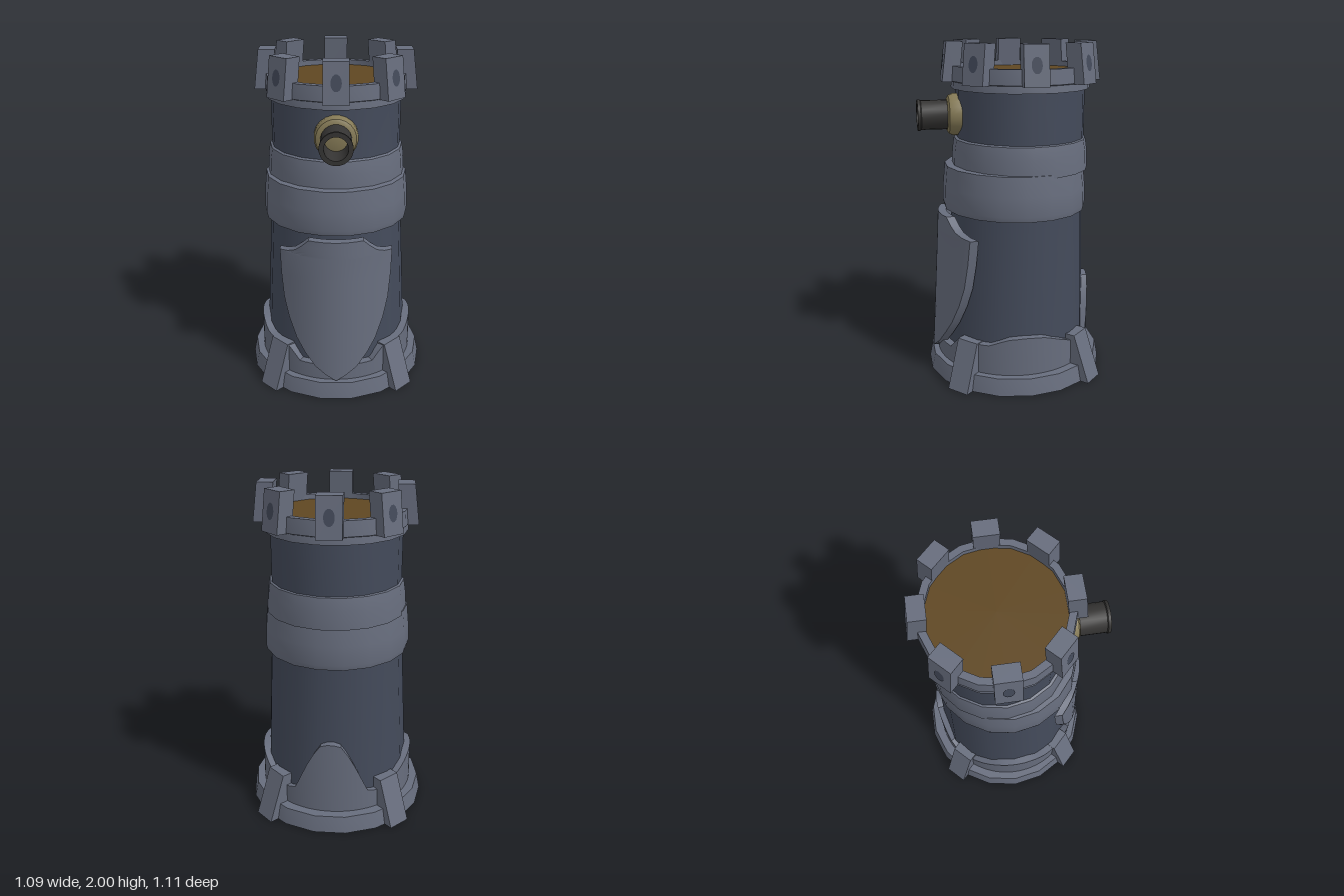
import * as THREE from 'three';
import { toCreasedNormals } from 'three/addons/utils/BufferGeometryUtils.js';

const SIDES = 18;
const mat = (name, color, side = THREE.FrontSide) => {
  const m = new THREE.MeshStandardMaterial({ color, side });
  m.name = name;
  return m;
};

export function createModel() {
  const stone = mat('stone', 0x676d7d);
  const wall = mat('dark wall', 0x434a5a, THREE.DoubleSide);
  const wood = mat('wood', 0x5f4722);
  const brass = mat('brass', 0x857a56);
  const iron = mat('iron', 0x353433);

  const tower = new THREE.Group();
  tower.name = 'tower';
  const add = (name, geo, material, parent = tower) => {
    const mesh = new THREE.Mesh(geo, material);
    mesh.name = name;
    parent.add(mesh);
    return mesh;
  };

  const edit = (geo, fn) => {
    const p = geo.attributes.position, v = new THREE.Vector3();
    for (let i = 0; i < p.count; i++) {
      fn(v.fromBufferAttribute(p, i));
      p.setXYZ(i, v.x, v.y, v.z);
    }
    return geo;
  };
  const crease = (geo) => toCreasedNormals(geo, 0.6);

  // Linear interpolation through [key, value] pairs
  const along = (keys, t) => {
    let i = 1;
    while (i < keys.length - 1 && t > keys[i][0]) i++;
    const [a, va] = keys[i - 1], [b, vb] = keys[i];
    return va + (vb - va) * THREE.MathUtils.clamp((t - a) / (b - a), 0, 1);
  };

  const lathe = (profile, sides = SIDES) => new THREE.LatheGeometry(
    profile.map(([r, y]) => new THREE.Vector2(r, y)), sides, Math.PI / sides);

  // Turned ring whose centre drifts back with height; tilt raises the front
  const ring = (profile, centres, tilt = 0) => crease(edit(lathe(profile), (v) => {
    const dz = along(centres, v.y);
    v.y += v.z * tilt;
    v.z += dz;
  }));

  // Radial block: (radius, height) outline given a width
  const block = (outline, width) => {
    const shape = new THREE.Shape(outline.map(([r, y]) => new THREE.Vector2(r, y)));
    return new THREE.ExtrudeGeometry(shape, { depth: width, bevelEnabled: false })
      .translate(0, 0, -width / 2).rotateY(-Math.PI / 2);
  };

  const BASE_Z = -0.018, TOP_Z = -0.055;
  const still = (z) => [[0, z], [2, z]];

  // Hollow leaning wall
  add('towerWall', ring(
    [[0.45, 0.01], [0.437, 0.3], [0.40, 1.02], [0.383, 1.45], [0.383, 1.8]],
    [[0, -0.015], [0.3, -0.015], [1.02, -0.035], [1.45, TOP_Z]]), wall);

  // Foot ring
  add('footRing', ring(
    [[0.455, 0], [0.545, 0], [0.525, 0.1], [0.455, 0.1], [0.455, 0]], still(BASE_Z)), stone);

  // Skirt with a wavy upper edge, heights by angle from the front
  const waves = [[0, 0.2], [28, 0.2], [36, 0.28], [62, 0.28], [76, 0.325], [90, 0.335], [104, 0.325],
    [122, 0.27], [140, 0.21], [152, 0.22], [165, 0.45], [172, 0.54], [180, 0.56]];
  const skirt = edit(lathe([[0.474, 0.05], [0.474, 1], [0.41, 1]], 72), (v) => {
    const angle = Math.abs(Math.atan2(v.x, v.z)) * 180 / Math.PI;
    if (v.y > 0.5) v.y = along(waves, angle);
    v.z -= 0.008;
  });
  add('wavySkirt', crease(skirt), stone);

  // Four leaning buttresses on the diagonals
  const buttress = block([[0.43, 0], [0.588, 0], [0.485, 0.285], [0.4, 0.285]], 0.14);
  for (let i = 0; i < 4; i++) {
    const b = add('buttress', buttress, stone);
    b.rotation.y = Math.PI / 4 + i * Math.PI / 2;
    b.position.z = BASE_Z;
  }

  // Two bulging bands
  add('lowerBand', ring(
    [[0.38, 1.02], [0.43, 1.02], [0.437, 1.05], [0.432, 1.16], [0.42, 1.28], [0.37, 1.285]],
    still(-0.018), 0.012), stone);
  add('upperBand', ring(
    [[0.37, 1.26], [0.411, 1.26], [0.406, 1.37], [0.395, 1.44], [0.37, 1.453]],
    still(-0.052)), stone);

  // Curved shield: a box whose rows follow [height, half width]
  const rows = [[0.115, 0.004], [0.15, 0.06], [0.2, 0.125], [0.28, 0.187], [0.36, 0.235], [0.48, 0.28],
    [0.6, 0.308], [0.75, 0.322], [0.895, 0.328], [0.905, 0.28], [0.925, 0.235], [0.96, 0.195], [1.0, 0.155]];
  const last = rows.length - 1;
  const shield = edit(new THREE.BoxGeometry(2, 1, 0.05, 12, last, 1), (v) => {
    const [y, half] = rows[Math.round((v.y + 0.5) * last)];
    v.x *= half;
    v.y = y;
    v.z += 0.475 - 0.05 * (y - 0.115) / 0.885 - 1.45 * v.x * v.x;
  });
  add('shield', crease(shield), stone);

  // Parapet and deck
  add('parapet', ring(
    [[0.37, 1.735], [0.411, 1.735], [0.407, 1.775], [0.418, 1.78], [0.411, 1.865], [0.37, 1.865], [0.37, 1.8]],
    still(TOP_Z)), stone);
  add('deck', new THREE.CircleGeometry(0.378, SIDES).rotateX(-Math.PI / 2)
    .translate(0, 1.835, TOP_Z), wood);

  // Eight battlements, each with an oval loophole on its leaning face
  const merlon = block([[0.37, 1.775], [0.468, 1.775], [0.44, 2], [0.345, 2]], 0.14);
  const loophole = new THREE.CircleGeometry(1, 14).scale(0.03, 0.046, 1)
    .rotateX(-0.124).translate(0, 1.89, 0.4565);
  for (let i = 0; i < 8; i++) {
    const battlement = new THREE.Group();
    battlement.name = 'battlement';
    add('merlon', merlon, stone, battlement);
    add('loophole', loophole, wall, battlement);
    battlement.rotation.y = i * Math.PI / 4;
    battlement.position.z = TOP_Z;
    tower.add(battlement);
  }

  // Cannon pointing forward, turned about z
  const cannon = new THREE.Group();
  cannon.name = 'cannon';
  cannon.position.y = 1.581;
  const turned = (profile) => crease(lathe(profile, 20).rotateX(Math.PI / 2));
  add('collar', turned([[0.08, 0.29], [0.122, 0.305], [0.122, 0.35], [0.112, 0.375], [0.095, 0.385], [0, 0.385]]),
    brass, cannon);
  add('barrel', turned([[0.086, 0.37], [0.086, 0.535], [0.091, 0.54], [0.091, 0.556], [0.065, 0.556], [0.065, 0.37]]),
    iron, cannon);
  tower.add(cannon);

  return tower;
}
